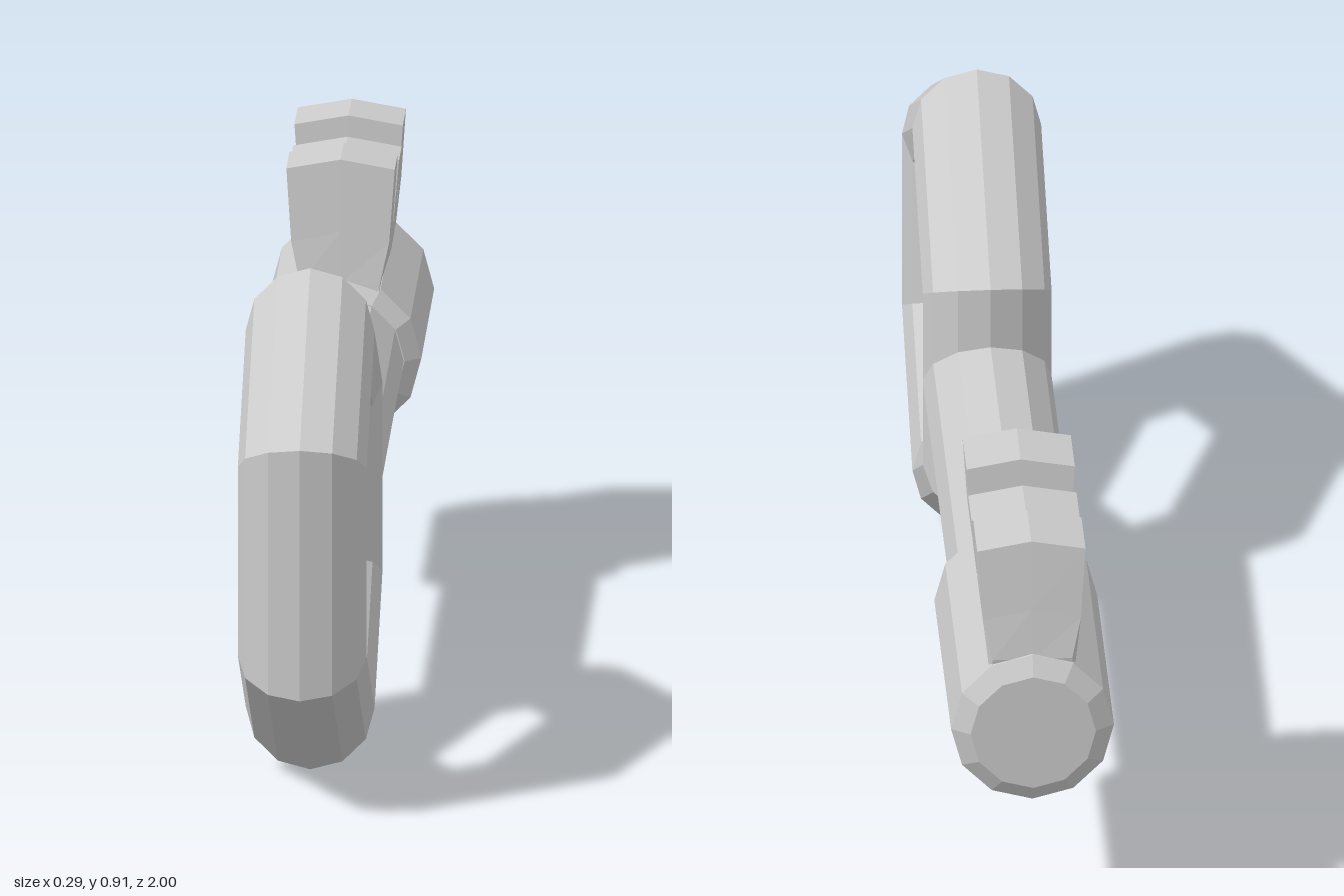
import * as THREE from 'three';

const AXIS_Y = 0.457;

export function createModel() {
  const key = new THREE.Group();
  key.name = 'key';
  const material = new THREE.MeshStandardMaterial({ color: 0xcccccc, flatShading: true });
  const add = (name, geometry, y = 0, z = 0) => {
    const mesh = new THREE.Mesh(geometry, material);
    mesh.name = name;
    mesh.position.set(0, y, z);
    key.add(mesh);
  };

  // Six-sided ring handle, standing in the YZ plane with a corner at the top
  const bow = new THREE.TorusGeometry(0.341, 0.113, 12, 6);
  bow.rotateZ(Math.PI / 6).rotateY(Math.PI / 2);
  add('bow', bow, AXIS_Y, 0.606);

  // Round shaft and thicker chamfered barrel: [radius, distance towards the back]
  const lathe = (points) => new THREE.LatheGeometry(
    points.map(([r, d]) => new THREE.Vector2(r, d)), 12).rotateX(-Math.PI / 2);
  add('shaft', lathe([[0, -0.31], [0.113, -0.31], [0.113, 0.49]]), AXIS_Y);
  add('barrel', lathe([[0, 0.478], [0.115, 0.478], [0.143, 0.502],
    [0.143, 0.978], [0.11, 1], [0, 1]]), AXIS_Y);

  // Toothed bit: side profile extruded across, then flared upward and crowned
  const profile = [
    [0.49, 0.52], [0.965, 0.52], [0.975, 0.59], [0.962, 0.68], [0.945, 0.808],
    [0.83, 0.808], [0.817, 0.68], [0.79, 0.68], [0.783, 0.782],
    [0.69, 0.782], [0.683, 0.68], [0.655, 0.68], [0.642, 0.808],
    [0.527, 0.808], [0.512, 0.68], [0.5, 0.59],
  ];
  const bit = new THREE.ExtrudeGeometry(
    new THREE.Shape(profile.map(([d, y]) => new THREE.Vector2(d, y))),
    { depth: 2, steps: 2, bevelEnabled: false });
  bit.translate(0, 0, -1).rotateY(Math.PI / 2);
  const p = bit.attributes.position;
  for (let i = 0; i < p.count; i++) {
    const x = p.getX(i), y = p.getY(i);
    const half = y < 0.65 ? 0.07 : y < 0.7 ? 0.086 : 0.095;
    p.setX(i, x * half);
    if (y > 0.65) p.setY(i, y - 0.017 * Math.abs(x));
  }
  bit.computeVertexNormals();
  add('bit', bit);

  return key;
}
